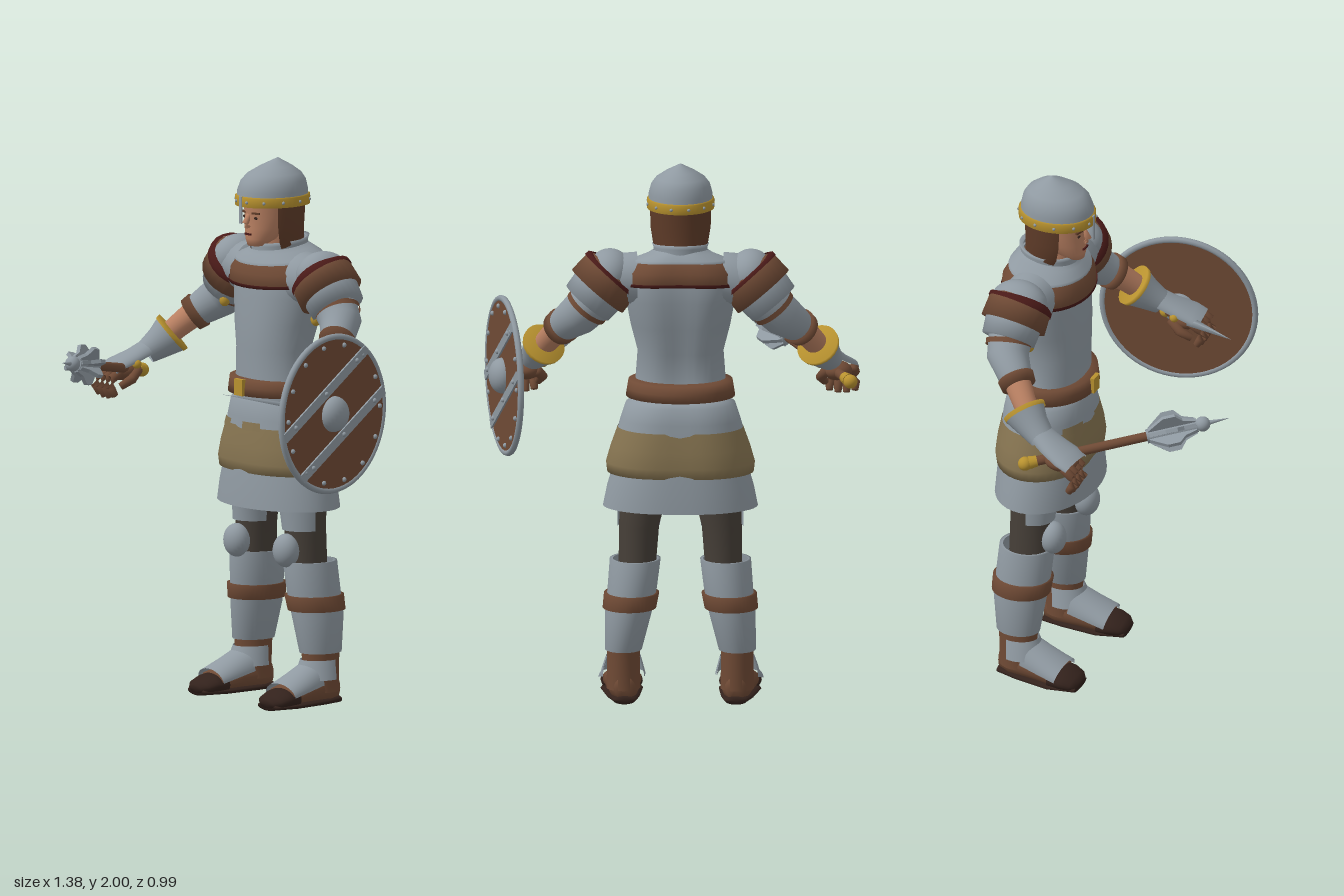
import * as THREE from 'three';

const mat = (name, color) => Object.assign(new THREE.MeshStandardMaterial({ color, side: THREE.DoubleSide }), { name });
const V = (x, y, z) => new THREE.Vector3(x, y, z);
const CX = -0.042; // body centre line

export function createModel() {
  const steel = mat('steel', 0x8f99a1), leather = mat('leather', 0x6f4a35), tan = mat('tan cloth', 0x857350),
    gold = mat('gold', 0xb8922f), cloth = mat('dark cloth', 0x463f38), skin = mat('skin', 0xb98062),
    maroon = mat('maroon trim', 0x4a1a18), boot = mat('dark boot', 0x33221c), hair = mat('hair', 0x5e3b28);

  const add = (parent, name, geo, m, pos) => {
    const mesh = new THREE.Mesh(geo, m);
    mesh.name = name;
    if (pos) mesh.position.set(...pos);
    parent.add(mesh);
    return mesh;
  };
  const group = (parent, name) => {
    const g = new THREE.Group();
    g.name = name;
    parent.add(g);
    return g;
  };

  // Skin a list of rings into one surface
  const surface = (rings, closed) => {
    const n = rings[0].length, pos = [], idx = [];
    rings.forEach(r => r.forEach(p => pos.push(p.x, p.y, p.z)));
    for (let i = 0; i < rings.length - 1; i++) for (let j = 0; j < (closed ? n : n - 1); j++) {
      const k = (j + 1) % n, a = i * n + j, b = i * n + k, c = a + n, d = b + n;
      idx.push(a, b, d, a, d, c);
    }
    const g = new THREE.BufferGeometry();
    g.setAttribute('position', new THREE.Float32BufferAttribute(pos, 3));
    g.setIndex(idx);
    g.computeVertexNormals();
    return g;
  };
  const angles = (from, to, n = 32) => {
    const full = to - from > 6.28;
    return { full, list: Array.from({ length: full ? n : n + 1 }, (_, i) => from + (to - from) * i / n) };
  };
  // Horizontal rings [y, cx, cz, rx, rz]; angle 0 faces front
  const loft = (secs, { from = 0, to = Math.PI * 2, back = 0, front = 0, tilt = 0 } = {}) => {
    const { full, list } = angles(from, to, 40);
    return surface(secs.map(([y, cx, cz, rx, rz]) => list.map(t => {
      const c = Math.cos(t);
      const k = 1 - back * Math.exp((-1 - c) * 12) - front * Math.exp((c - 1) * 12);
      return V(cx + rx * Math.sin(t), y - tilt * rz * c, cz + rz * c * k);
    })), full);
  };
  // Rings across a path of [x, y, z, half width, half height]; angle 0 faces up
  const limb = (pts, { from = 0, to = Math.PI * 2, cap = false } = {}) => {
    const { full, list } = angles(from, to, 24), c = pts.map(p => V(p[0], p[1], p[2]));
    const rings = pts.map(([, , , ra, rb = ra], i) => {
      const t = c[Math.min(i + 1, c.length - 1)].clone().sub(c[Math.max(i - 1, 0)]).normalize();
      const side = t.clone().cross(V(0, 1, 0)).normalize(), up = side.clone().cross(t);
      return list.map(a => c[i].clone().addScaledVector(side, ra * Math.sin(a)).addScaledVector(up, rb * Math.cos(a)));
    });
    if (cap) { rings.unshift(list.map(() => c[0])); rings.push(list.map(() => c[c.length - 1])); }
    return surface(rings, full);
  };
  const ball = (parent, name, m, pos, s) => {
    const b = add(parent, name, new THREE.SphereGeometry(1, 24, 16), m, pos);
    b.scale.set(...(Array.isArray(s) ? s : [s, s, s]));
    return b;
  };
  const mirrored = (g, name) => {
    const c = g.clone();
    c.name = name;
    c.scale.x = -1;
    c.position.x = 2 * CX;
    return c;
  };

  const model = new THREE.Group();
  model.name = 'armouredSoldier';

  // Head and helmet
  const head = group(model, 'head');
  add(head, 'face', loft([[1.682, CX, -.215, 0, 0], [1.684, CX, -.21, .032, .03], [1.71, CX, -.24, .058, .066],
    [1.75, CX, -.262, .074, .088], [1.79, CX, -.27, .08, .095], [1.86, CX, -.275, .086, .105]]), skin);
  add(head, 'throat', loft([[1.62, CX, -.31, .07, .08], [1.74, CX, -.29, .06, .075]]), skin);
  add(head, 'nose', limb([[CX, 1.8, -.178, .009], [CX, 1.77, -.163, .014, .012], [CX, 1.755, -.172, .016, .01]], { cap: true }), skin);
  add(head, 'mouth', new THREE.BoxGeometry(.036, .007, .008), maroon, [CX, 1.728, -.174]);
  for (const s of [-1, 1]) {
    ball(head, 'eye', boot, [CX + s * .034, 1.789, -.184], [.011, .005, .004]);
    add(head, 'brow', new THREE.BoxGeometry(.034, .007, .008), hair, [CX + s * .035, 1.807, -.183]).rotation.y = s * .3;
  }
  add(head, 'hair', loft([[1.66, CX, -.31, .088, .095], [1.7, CX, -.295, .1, .11], [1.76, CX, -.285, .11, .118],
    [1.85, CX, -.285, .112, .125]], { from: 1.15, to: Math.PI * 2 - 1.15 }), hair);
  add(head, 'helmet', loft([[1.84, CX, -.285, .117, .138], [1.885, CX, -.285, .117, .136], [1.92, CX, -.288, .108, .125],
    [1.945, CX, -.293, .09, .104], [1.97, CX, -.3, .055, .063], [2, CX, -.308, .001, .001]]), steel);
  add(head, 'helmetBand', loft([[1.832, CX, -.285, .114, .135], [1.832, CX, -.285, .123, .145], [1.866, CX, -.285, .123, .145],
    [1.87, CX, -.285, .115, .135]]), gold);
  for (let i = 0; i < 12; i++) {
    const t = i * Math.PI / 6 + .26;
    ball(head, 'helmetRivet', steel, [CX + .123 * Math.sin(t), 1.85, -.285 + .145 * Math.cos(t)], .006);
  }
  add(head, 'noseGuard', new THREE.BoxGeometry(.016, .1, .006), steel, [CX, 1.82, -.141]);

  // Torso, collar and mantle
  const torso = group(model, 'torso');
  add(torso, 'breastplate', loft([[1.1, CX, -.295, .17, .13], [1.19, CX, -.283, .165, .113], [1.3, CX, -.29, .157, .125],
    [1.4, CX, -.303, .182, .137], [1.5, CX, -.315, .2, .143], [1.57, CX, -.318, .21, .14], [1.62, CX, -.318, .19, .13],
    [1.66, CX, -.315, .1, .1]], { back: .18, front: .04 }), steel);
  add(torso, 'mantle', loft([[1.555, CX, -.32, .205, .148], [1.555, CX, -.32, .222, .165], [1.6, CX, -.32, .212, .163],
    [1.64, CX, -.318, .175, .14], [1.66, CX, -.315, .12, .11]], { back: .14, tilt: .1 }), leather);
  add(torso, 'mantleTrim', loft([[1.55, CX, -.32, .2, .145], [1.55, CX, -.32, .225, .168], [1.562, CX, -.32, .224, .168]],
    { back: .14, tilt: .1 }), maroon);
  add(torso, 'gorget', loft([[1.635, CX, -.315, .185, .148], [1.645, CX, -.315, .18, .146], [1.668, CX, -.315, .12, .12],
    [1.68, CX, -.312, .1, .108]], { back: .1, tilt: .12 }), steel);
  add(torso, 'collar', loft([[1.65, CX, -.318, .1, .11], [1.69, CX, -.318, .098, .105], [1.705, CX, -.318, .104, .11],
    [1.7, CX, -.318, .09, .095]], { tilt: .1 }), steel);

  // Belt and skirt
  add(torso, 'belt', loft([[1.135, CX, -.305, .17, .14], [1.135, CX, -.305, .2, .168], [1.165, CX, -.305, .195, .166],
    [1.195, CX, -.303, .19, .16], [1.195, CX, -.295, .155, .11]]), leather);
  add(torso, 'buckle', new THREE.BoxGeometry(.05, .06, .016), gold, [CX, 1.165, -.136]);
  const skirt = group(model, 'skirt');
  add(skirt, 'upperSkirt', loft([[.98, CX, -.312, .238, .172], [1.05, CX, -.312, .22, .164], [1.11, CX, -.31, .2, .155],
    [1.125, CX, -.305, .165, .125]], { back: .1, front: .04 }), steel);
  add(skirt, 'tanBand', loft([[.865, CX, -.312, .245, .172], [.853, CX, -.312, .268, .184], [.89, CX, -.312, .272, .189],
    [.95, CX, -.312, .255, .184], [1.02, CX, -.312, .23, .17]], { back: .12, front: .06 }), tan);
  for (const [x, w] of [[-.13, .07], [.055, .06]])
    add(skirt, 'tanPatch', loft([[1.01, CX, -.312, .236, .174], [1.04, CX, -.312, .226, .169]],
      { from: x / .23 - w / .3, to: x / .23 + w / .3 }), tan);
  add(skirt, 'lowerSkirt', loft([[.725, CX, -.312, .283, .187], [.8, CX, -.312, .268, .182], [.88, CX, -.312, .245, .172]],
    { back: .06 }), steel);

  // Right leg, mirrored for the left
  const leg = group(model, 'rightLeg');
  add(leg, 'trouser', loft([[.5, -.2, -.325, .068, .078], [.65, -.193, -.322, .073, .078], [.78, -.175, -.318, .088, .095],
    [1, -.15, -.31, .09, .1]]), cloth);
  add(leg, 'thighPlate', loft([[.645, -.195, -.318, .077, .085], [.72, -.19, -.318, .083, .092], [.85, -.17, -.315, .097, .105]],
    { from: -1.5, to: 1.5 }), steel);
  ball(leg, 'kneeCap', steel, [-.195, .572, -.235], [.054, .062, .048]);
  add(leg, 'greave', loft([[.53, -.207, -.333, .082, .09], [.53, -.207, -.333, .093, .103], [.42, -.218, -.342, .09, .103],
    [.33, -.232, -.35, .085, .1], [.195, -.25, -.35, .068, .082], [.195, -.25, -.35, .05, .06]]), steel);
  add(leg, 'greaveStrap', loft([[.35, -.228, -.348, .085, .095], [.35, -.228, -.348, .098, .11], [.405, -.22, -.343, .101, .113],
    [.405, -.22, -.343, .085, .095]]), leather);
  add(leg, 'ankle', loft([[.05, -.25, -.35, .062, .07], [.12, -.25, -.35, .06, .07], [.2, -.25, -.35, .06, .074]]), leather);
  add(leg, 'ankleGuard', loft([[.1, -.252, -.335, .083, .09], [.14, -.251, -.342, .072, .083], [.17, -.25, -.348, .063, .078]],
    { from: -1.9, to: 1.9 }), steel);
  add(leg, 'shoe', limb([[-.245, .06, -.415, .035, .045], [-.248, .06, -.37, .055, .058], [-.253, .058, -.27, .064, .056],
    [-.258, .045, -.17, .074, .04]], { cap: true }), leather);
  add(leg, 'sole', limb([[-.245, .016, -.42, .04, .015], [-.25, .016, -.34, .06, .016], [-.258, .016, -.2, .078, .016],
    [-.262, .016, -.1, .055, .015]], { cap: true }), boot);
  add(leg, 'toeCap', limb([[-.257, .042, -.2, .076, .042], [-.26, .038, -.15, .077, .036], [-.262, .03, -.115, .066, .027],
    [-.263, .025, -.096, .04, .017]], { cap: true }), boot);
  add(leg, 'instepPlate', limb([[-.25, .085, -.31, .075, .085], [-.254, .068, -.24, .08, .065], [-.258, .05, -.165, .085, .046]],
    { from: -1.6, to: 1.6 }), steel);
  model.add(mirrored(leg, 'leftLeg'));

  // Right arm, mirrored for the left
  const arm = group(model, 'rightArm');
  add(arm, 'sleeve', limb([[-.2, 1.57, -.32, .1], [-.28, 1.57, -.322, .1], [-.35, 1.5, -.335, .083], [-.415, 1.435, -.32, .077],
    [-.46, 1.395, -.275, .064], [-.478, 1.378, -.255, .056]]), steel);
  ball(arm, 'shoulderCap', steel, [-.3, 1.595, -.325], [.083, .088, .108]);
  add(arm, 'shoulderGuard', limb([[-.285, 1.595, -.322, .1], [-.297, 1.583, -.324, .118], [-.345, 1.527, -.33, .122],
    [-.345, 1.527, -.33, .09]]), leather);
  add(arm, 'shoulderTrim', limb([[-.287, 1.594, -.322, .105], [-.289, 1.592, -.322, .121], [-.3, 1.58, -.324, .122]]), maroon);
  add(arm, 'shoulderLame', limb([[-.325, 1.55, -.328, .1], [-.34, 1.533, -.33, .106], [-.382, 1.483, -.333, .1],
    [-.382, 1.483, -.333, .08]]), steel);
  add(arm, 'armBand', limb([[-.376, 1.475, -.333, .084], [-.388, 1.46, -.33, .084]]), leather);
  ball(arm, 'armBuckle', gold, [-.325, 1.44, -.275], [.02, .025, .02]);
  add(arm, 'elbowStrap', limb([[-.47, 1.386, -.265, .05], [-.47, 1.386, -.265, .068], [-.49, 1.365, -.243, .064],
    [-.49, 1.365, -.243, .04]]), leather);
  add(arm, 'forearm', limb([[-.475, 1.38, -.26, .05], [-.52, 1.325, -.21, .044], [-.58, 1.24, -.13, .038]]), skin);
  add(arm, 'cuff', limb([[-.545, 1.295, -.195, .078], [-.565, 1.26, -.155, .06], [-.585, 1.228, -.11, .05, .045]]), steel);
  add(arm, 'cuffRim', limb([[-.541, 1.301, -.201, .07], [-.541, 1.301, -.201, .081], [-.548, 1.29, -.19, .079]]), gold);
  add(arm, 'handPlate', limb([[-.58, 1.235, -.12, .05, .045], [-.598, 1.208, -.06, .062, .036], [-.615, 1.185, .005, .073, .03],
    [-.62, 1.168, .04, .07, .025]], { from: -1.7, to: 1.7 }), steel);
  ball(arm, 'palm', leather, [-.61, 1.165, -.02], [.055, .035, .065]);
  ball(arm, 'handStud', gold, [-.547, 1.195, -.04], .017);
  for (let i = 0; i < 4; i++) {
    const x = -.67 + i * .031;
    add(arm, 'finger', limb([[x, 1.17, .01, .017], [x - .004, 1.145, .045, .018], [x - .006, 1.11, .052, .017],
      [x - .004, 1.08 - (i % 3 ? .008 : 0), .035, .013]], { cap: true }), leather);
  }
  add(arm, 'thumb', limb([[-.57, 1.17, -.06, .02], [-.55, 1.14, -.02, .018], [-.565, 1.115, .02, .014]], { cap: true }), leather);
  model.add(mirrored(arm, 'leftArm'));

  // Weapons run along their own y axis, from pommel to tip
  const weapon = (name, a, b) => {
    const g = group(model, name), d = b.clone().sub(a);
    g.position.copy(a);
    g.quaternion.setFromUnitVectors(V(0, 1, 0), d.normalize());
    return g;
  };
  const mace = weapon('mace', V(-.66, 1.15, -.145), V(-.27, 1.285, .5));
  ball(mace, 'macePommel', gold, [0, 0, 0], .026);
  add(mace, 'maceCollar', new THREE.CylinderGeometry(.02, .024, .03, 16), gold, [0, .03, 0]);
  add(mace, 'maceHandle', new THREE.CylinderGeometry(.017, .018, .46, 16), leather, [0, .25, 0]);
  add(mace, 'maceCore', new THREE.CylinderGeometry(.026, .026, .19, 16), steel, [0, .55, 0]);
  const fl = new THREE.Shape([[0, .455], [.03, .465], [.074, .525], [.074, .57], [.045, .595], [.03, .64], [0, .645]]
    .map(p => new THREE.Vector2(...p)));
  const flGeo = new THREE.ExtrudeGeometry(fl, { depth: .014, bevelEnabled: false }).translate(0, 0, -.007);
  for (let i = 0; i < 8; i++) add(mace, 'maceFlange', flGeo, steel).rotation.y = i * Math.PI / 4;
  ball(mace, 'maceBall', steel, [0, .665, 0], .028);
  add(mace, 'maceSpike', new THREE.ConeGeometry(.009, .085, 12), steel, [0, .725, 0]);

  const dagger = weapon('dagger', V(.567, 1.15, -.12), V(.35, 1.225, .237));
  ball(dagger, 'daggerPommel', gold, [0, 0, 0], .022);
  add(dagger, 'daggerGrip', new THREE.CylinderGeometry(.014, .014, .15, 12), leather, [0, .08, 0]);
  add(dagger, 'daggerBlade', new THREE.ConeGeometry(.02, .27, 4), steel, [0, .29, 0]).scale.z = .5;

  // Round shield, built facing its own +z
  const shield = group(model, 'shield');
  shield.position.set(.604, 1.155, -.083);
  shield.rotation.y = 1.8;
  add(shield, 'shieldBoard', new THREE.CylinderGeometry(.285, .285, .016, 48), leather).rotation.x = Math.PI / 2;
  add(shield, 'shieldRim', new THREE.TorusGeometry(.283, .012, 8, 64), steel);
  ball(shield, 'shieldBoss', steel, [0, 0, .008], [.066, .066, .05]);
  const bands = group(shield, 'shieldBands');
  bands.rotation.z = .55;
  for (const s of [-1, 1]) {
    add(bands, 'shieldBand', new THREE.BoxGeometry(.53, .036, .008), steel, [0, s * .094, .011]);
    for (const x of [-.2, 0, .2]) ball(bands, 'bandRivet', steel, [x, s * .094, .015], .009);
  }
  for (let i = 0; i < 14; i++) {
    const t = i * Math.PI / 7;
    ball(shield, 'rimRivet', steel, [.255 * Math.cos(t), .255 * Math.sin(t), .009], .009);
  }
  return model;
}
